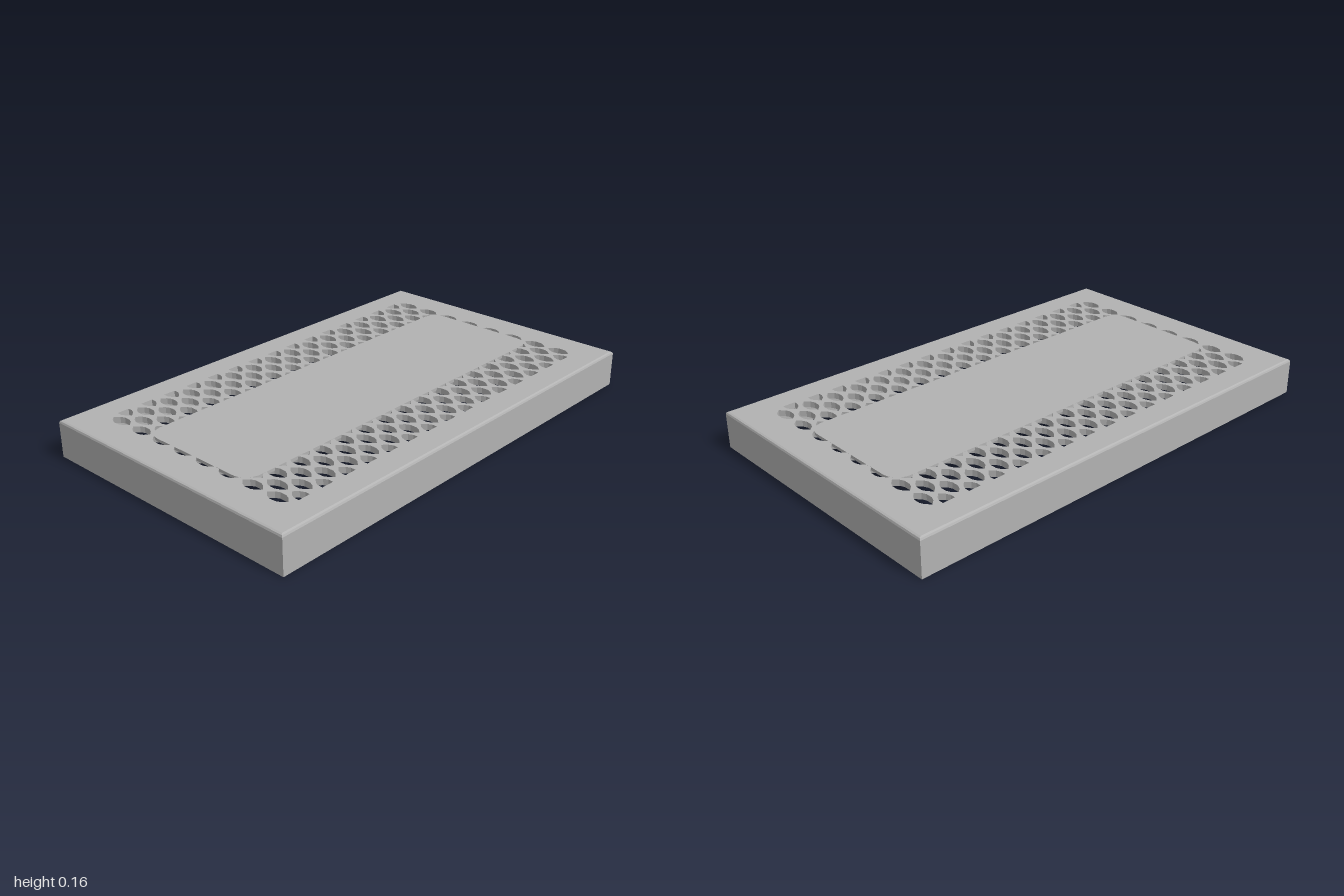
import * as THREE from 'three';

const HX = 0.6, HZ = 1, TOP = 0.155, WALL = 0.02, CEILING = 0.13;
const PANEL_X = 0.27, PANEL_Z = 0.847;

function polygon(points, Type = THREE.Path) {
  return new Type(points.map(([x, z]) => new THREE.Vector2(x, z)));
}

// Lies an extruded outline flat, between two heights
function slab(shape, y0, y1) {
  const g = new THREE.ExtrudeGeometry(shape, { depth: y1 - y0, bevelEnabled: false, curveSegments: 6 });
  return g.rotateX(-Math.PI / 2).translate(0, y0, 0);
}

// Sweeps an [inset, y] profile around the rectangular outline
function rim(profile) {
  const corners = [[-1, 1], [1, 1], [1, -1], [-1, -1]];
  const at = ([sx, sz], [inset, y]) => [sx * (HX - inset), y, sz * (HZ - inset)];
  const pos = [];
  for (let i = 0; i < profile.length - 1; i++) {
    for (let c = 0; c < 4; c++) {
      const a = corners[c], b = corners[(c + 1) % 4], lo = profile[i], hi = profile[i + 1];
      const A = at(a, lo), B = at(b, lo), C = at(b, hi), D = at(a, hi);
      pos.push(...A, ...B, ...C, ...A, ...C, ...D);
    }
  }
  const g = new THREE.BufferGeometry();
  g.setAttribute('position', new THREE.Float32BufferAttribute(pos, 3));
  g.computeVertexNormals();
  return g;
}

// Lens-shaped vent, cut straight at the outer edge of the vent field
function lens(cx, cz) {
  const half = [[0.05, 0], [0.032, 0.018], [0.014, 0.026], [-0.014, 0.026], [-0.032, 0.018]];
  const pts = [...half, ...half.map(([x, z]) => [-x, -z])];
  return polygon(pts.map(([x, z]) => [THREE.MathUtils.clamp(cx + x, -0.487, 0.487), cz + z]));
}

function hexagon(cx, cz, r) {
  const pts = [];
  for (let i = 0; i < 6; i++) {
    const a = (i + 0.5) * Math.PI / 3;
    pts.push([cx + r * Math.cos(a), cz + r * Math.sin(a)]);
  }
  return polygon(pts);
}

function roundedRect(hx, hz, r) {
  const s = new THREE.Shape();
  s.moveTo(-hx + r, -hz);
  s.lineTo(hx - r, -hz);
  s.absarc(hx - r, -hz + r, r, -Math.PI / 2, 0);
  s.absarc(hx - r, hz - r, r, 0, Math.PI / 2);
  s.absarc(-hx + r, hz - r, r, Math.PI / 2, Math.PI);
  s.absarc(-hx + r, -hz + r, r, Math.PI, Math.PI * 1.5);
  return s;
}

export function createModel() {
  const model = new THREE.Group();
  model.name = 'ventedCover';
  const grey = new THREE.MeshStandardMaterial({ color: 0xb2b2b2 });
  grey.name = 'grey';
  const add = (name, geometry) => {
    const mesh = new THREE.Mesh(geometry, grey);
    mesh.name = name;
    model.add(mesh);
    return mesh;
  };

  // Side walls with a softened top edge
  add('sideWalls', rim([[WALL, CEILING], [WALL, 0], [0, 0], [0, 0.145], [0.003, 0.152], [0.01, TOP]]
  ));

  // Top plate: staggered vents around the panel, honeycomb pockets beneath it
  const ix = HX - 0.01, iz = HZ - 0.01;
  const plate = polygon([[-ix, -iz], [ix, -iz], [ix, iz], [-ix, iz]], THREE.Shape);
  for (let row = 0; row <= 30; row++) {
    const z = (row - 15) * 0.0563;
    const offset = row % 2 ? 0 : 0.06;
    for (let i = -4; i <= 4; i++) {
      const x = i * 0.12 + offset;
      if (x > 0.5 || (Math.abs(x) < 0.2 && Math.abs(z) < 0.82)) continue;
      plate.holes.push(lens(x, z));
    }
  }
  for (let row = -6; row <= 6; row++) {
    const xs = row % 2 ? [-0.06, 0.06] : [-0.12, 0, 0.12];
    for (const x of xs) plate.holes.push(hexagon(x, row * 0.12, 0.057));
  }
  add('topPlate', slab(plate, CEILING, TOP));

  // Solid centre panel closing the middle of the vent field
  add('centrePanel', slab(roundedRect(PANEL_X, PANEL_Z, 0.07), 0.143, TOP + 0.0003));

  // Small round studs inside the long walls
  for (const side of [-1, 1]) {
    for (const z of [-0.7, 0, 0.7]) {
      const stud = add('wallStud', new THREE.CylinderGeometry(0.014, 0.014, 0.008, 16).rotateZ(Math.PI / 2));
      stud.position.set(side * (HX - WALL), 0.08, z);
    }
  }
  return model;
}
